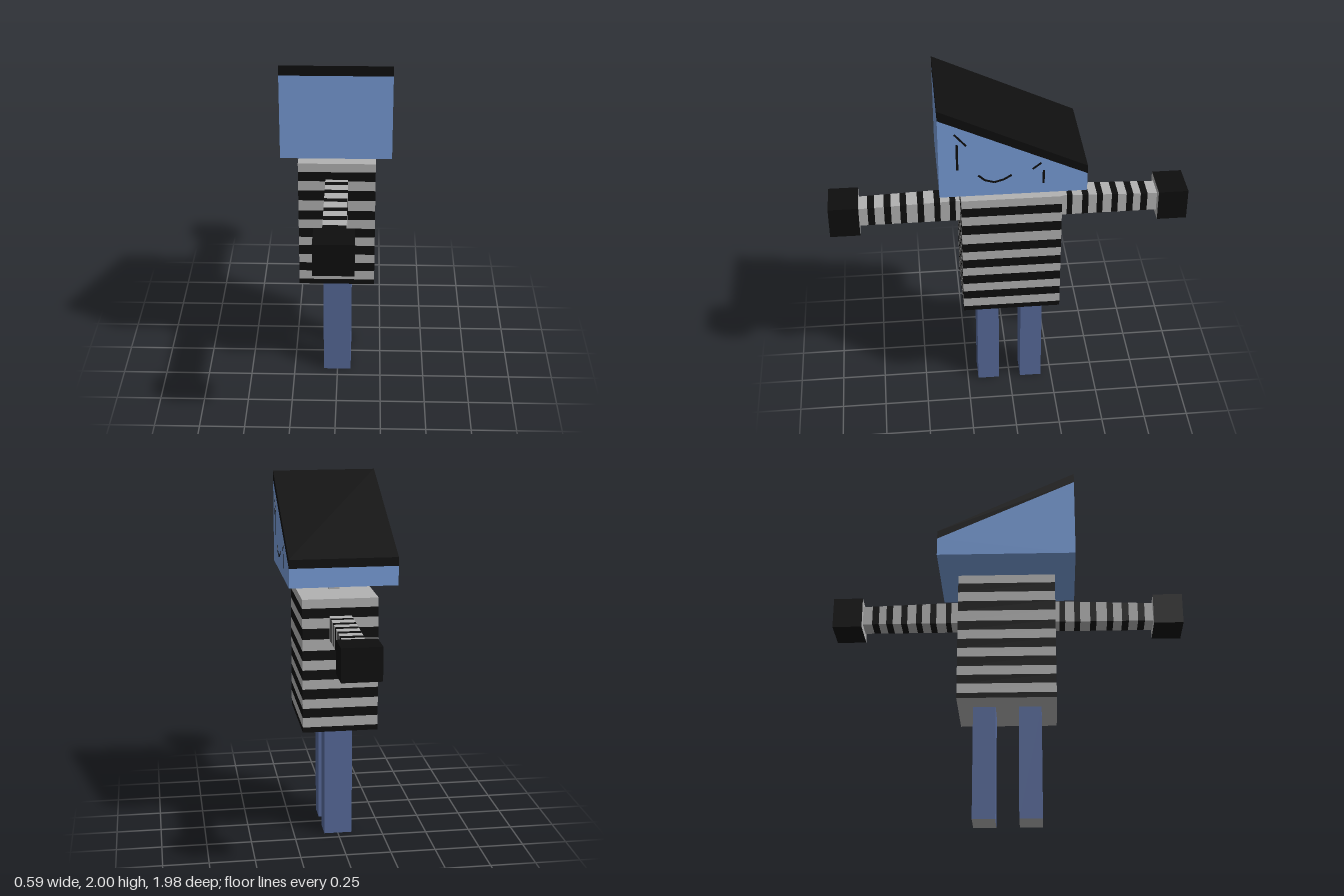
import * as THREE from 'three';

const mat = (name, color) => {
  const m = new THREE.MeshStandardMaterial({ color });
  m.name = name;
  return m;
};

export function createModel() {
  const black = mat('black', 0x0e0e0e);
  const grey = mat('light grey', 0xb2b2b2);
  const blue = mat('sky blue', 0x789dd8);
  const denim = mat('denim blue', 0x576a9a);

  const model = new THREE.Group();
  model.name = 'figure';

  // box from its bounds; face materials run +x, -x, +y, -y, +z, -z
  const box = (parent, name, material, [x0, x1], [y0, y1], [z0, z1]) => {
    const g = new THREE.BoxGeometry(x1 - x0, y1 - y0, z1 - z0);
    g.translate((x0 + x1) / 2, (y0 + y1) / 2, (z0 + z1) / 2);
    const mesh = new THREE.Mesh(g, material);
    mesh.name = name;
    parent.add(mesh);
    return mesh;
  };

  // shape drawn in (z, y), extruded across x
  const across = (parent, name, material, points, x0, x1) => {
    const shape = new THREE.Shape(points.map(([z, y]) => new THREE.Vector2(-z, y)));
    const g = new THREE.ExtrudeGeometry(shape, { depth: x1 - x0, bevelEnabled: false });
    g.translate(0, 0, x0);
    g.rotateY(Math.PI / 2);
    const mesh = new THREE.Mesh(g, material);
    mesh.name = name;
    parent.add(mesh);
  };

  // striped torso: alternating bands from the hem up
  const torso = new THREE.Group();
  torso.name = 'torso';
  model.add(torso);
  const bands = [0.64, 0.67, 0.725, 0.777, 0.83, 0.887, 0.94, 0.995, 1.05, 1.105, 1.168, 1.228, 1.285, 1.34, 1.39];
  for (let i = 0; i < bands.length - 1; i++) {
    const dark = i % 2 === 0;
    const m = dark ? [black, black, black, i === 0 ? grey : black, black, black] : grey;
    box(torso, 'torsoBand', m, [-0.21, 0.207], [bands[i], bands[i + 1]], [-0.272, 0.272]);
  }

  // legs with grey soles
  for (const s of [1, -1]) {
    box(model, 'leg', [denim, denim, denim, grey, denim, denim],
      [-0.08, 0.077], [0, 0.645], [s * 0.126 - 0.0625, s * 0.126 + 0.0625]);
  }

  // striped arms, slightly taller at the shoulder, and black hands
  const armTop = (z) => 1.295 - 0.02 * (Math.abs(z) - 0.27) / 0.56;
  const armCuts = {
    '1': [0.26, 0.296, 0.328, 0.38, 0.413, 0.47, 0.505, 0.565, 0.6, 0.65, 0.688, 0.74, 0.778, 0.83],
    '-1': [0.26, 0.32, 0.35, 0.405, 0.44, 0.487, 0.52, 0.57, 0.605, 0.653, 0.69, 0.732, 0.77, 0.83],
  };
  for (const s of [1, -1]) {
    const arm = new THREE.Group();
    arm.name = s > 0 ? 'frontArm' : 'backArm';
    model.add(arm);
    const cuts = armCuts[s];
    for (let i = 0; i < cuts.length - 1; i++) {
      const z = [s * cuts[i], s * cuts[i + 1]].sort((a, b) => a - b);
      const band = box(arm, 'armBand', i % 2 ? black : grey, [-0.063, 0.06], [1.165, 1.29], z);
      const p = band.geometry.attributes.position;
      for (let k = 0; k < p.count; k++) if (p.getY(k) > 1.2) p.setY(k, armTop(p.getZ(k)));
    }
    const faces = [black, black, black, black, s > 0 ? black : grey, s > 0 ? grey : black];
    box(arm, 'hand', faces, [-0.106, 0.104], [1.13, 1.308],
      s > 0 ? [0.825, 0.99] : [-0.988, -0.823]);
  }

  // neck
  box(model, 'neck', grey, [-0.032, 0.028], [1.385, 1.485], [-0.03, 0.03]);

  // wedge head with a sloping black top
  const head = new THREE.Group();
  head.name = 'head';
  model.add(head);
  across(head, 'face', blue, [[0.39, 1.48], [-0.39, 1.48], [-0.39, 1.585], [0.39, 1.945]], -0.295, 0.29);
  across(head, 'hair', black, [[0.39, 1.945], [-0.39, 1.585], [-0.39, 1.632], [0.39, 2]], -0.295, 0.29);

  // thin face marks on the +x side
  const stroke = (name, a, b, width) => {
    const dz = b[0] - a[0], dy = b[1] - a[1], len = Math.hypot(dz, dy);
    const mark = new THREE.Mesh(new THREE.BoxGeometry(0.003, width, len), black);
    mark.name = name;
    mark.position.set(0.2905, (a[1] + b[1]) / 2, (a[0] + b[0]) / 2);
    mark.rotation.x = -Math.atan2(dy, dz);
    head.add(mark);
  };
  stroke('eye', [0.293, 1.645], [0.293, 1.8], 0.012);
  stroke('eye', [-0.158, 1.54], [-0.158, 1.62], 0.011);
  stroke('eyebrow', [0.305, 1.86], [0.245, 1.79], 0.01);
  stroke('eyebrow', [-0.1, 1.63], [-0.145, 1.665], 0.01);
  const smile = [[0.185, 1.607], [0.15, 1.575], [0.1, 1.56], [0.05, 1.575], [0.01, 1.6]];
  for (let i = 0; i < smile.length - 1; i++) stroke('smile', smile[i], smile[i + 1], 0.011);

  return model;
}
